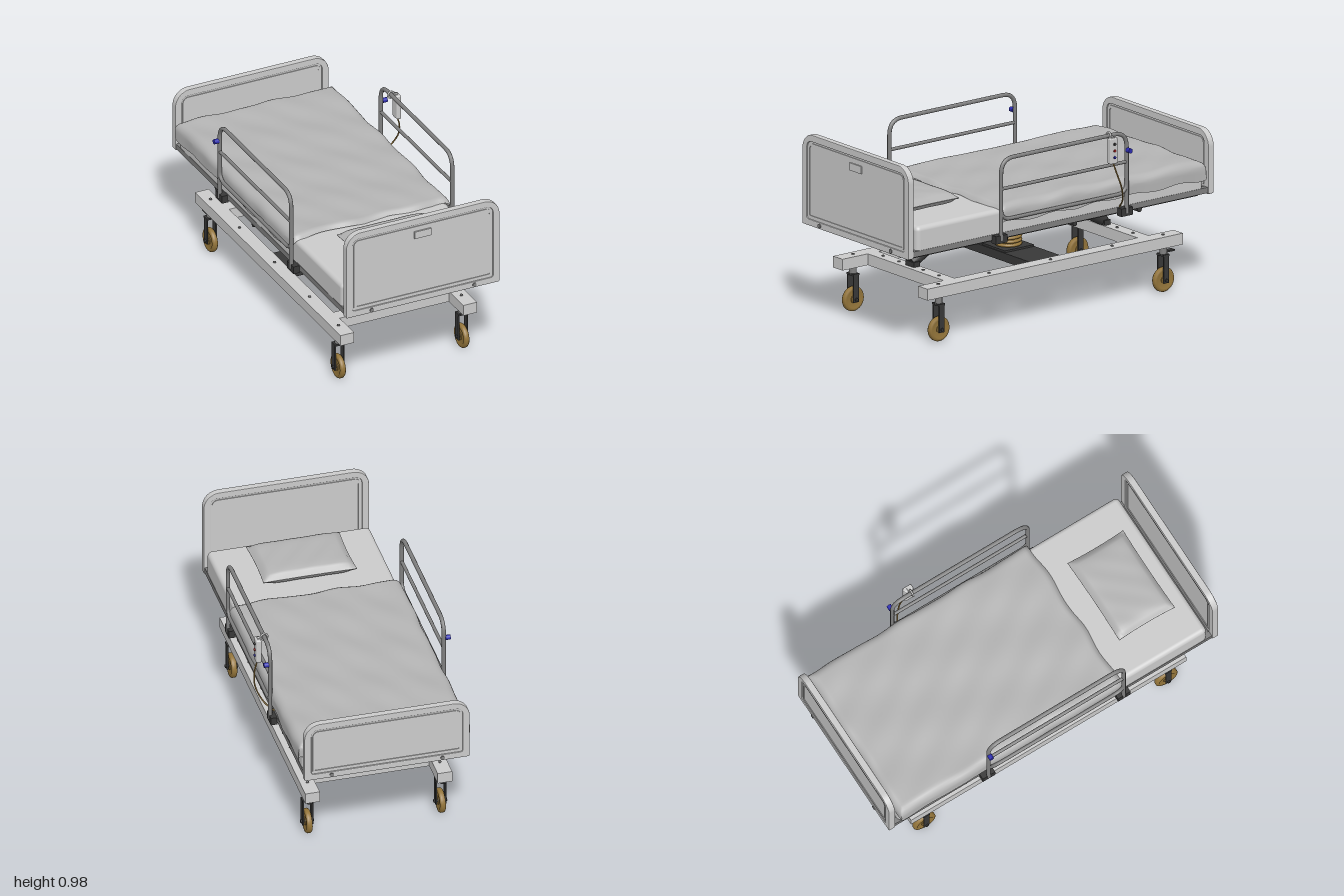
import * as THREE from 'three';
import { mergeVertices } from 'three/addons/utils/BufferGeometryUtils.js';
import { RoundedBoxGeometry } from 'three/addons/geometries/RoundedBoxGeometry.js';
import { ParametricGeometry } from 'three/addons/geometries/ParametricGeometry.js';

const mat = (color) => new THREE.MeshStandardMaterial({ color });
const grey = mat(0xcccccc), cloth = mat(0xb4b4b4), steel = mat(0x808080), dark = mat(0x383838);
const brown = mat(0x94753a), blue = mat(0x2c2cb0), red = mat(0xb02020);
const V = (x, y, z) => new THREE.Vector3(x, y, z);

function add(parent, name, geo, material, x = 0, y = 0, z = 0) {
  const m = new THREE.Mesh(geo, material);
  m.name = name;
  m.position.set(x, y, z);
  parent.add(m);
  return m;
}
const box = (w, h, d) => new THREE.BoxGeometry(w, h, d);
const cyl = (r, h, n = 20) => new THREE.CylinderGeometry(r, r, h, n);
const cylX = (r, h, n) => cyl(r, h, n).rotateZ(Math.PI / 2);
const cylZ = (r, h, n) => cyl(r, h, n).rotateX(Math.PI / 2);

// Cylinder between two points
function rod(parent, name, a, b, r, material) {
  const m = add(parent, name, cyl(r, a.distanceTo(b)), material);
  m.position.copy(a).lerp(b, 0.5);
  m.quaternion.setFromUnitVectors(V(0, 1, 0), b.clone().sub(a).normalize());
  return m;
}

// Bent tube through corner points, with rounded corners
function bentTube(points, bend, r) {
  const path = new THREE.CurvePath();
  let from = points[0];
  for (let i = 1; i < points.length - 1; i++) {
    const p = points[i];
    const a = p.clone().add(points[i - 1].clone().sub(p).setLength(bend));
    const b = p.clone().add(points[i + 1].clone().sub(p).setLength(bend));
    path.add(new THREE.LineCurve3(from, a));
    path.add(new THREE.QuadraticBezierCurve3(a, p, b));
    from = b;
  }
  path.add(new THREE.LineCurve3(from, points[points.length - 1]));
  return new THREE.TubeGeometry(path, 110, r, 10);
}

// Rectangle with separate top and bottom corner radii
function roundedRect(w, y0, y1, rt, rb, Type = THREE.Shape) {
  const s = new Type();
  s.moveTo(-w + rb, y0);
  s.lineTo(w - rb, y0);
  s.absarc(w - rb, y0 + rb, rb, -Math.PI / 2, 0);
  s.lineTo(w, y1 - rt);
  s.absarc(w - rt, y1 - rt, rt, 0, Math.PI / 2);
  s.lineTo(-w + rt, y1);
  s.absarc(-w + rt, y1 - rt, rt, Math.PI / 2, Math.PI);
  s.lineTo(-w, y0 + rb);
  s.absarc(-w + rb, y0 + rb, rb, Math.PI, Math.PI * 1.5);
  return s;
}
function slab(shape, depth, bevel = 0) {
  return new THREE.ExtrudeGeometry(shape, {
    depth: depth - 2 * bevel, bevelEnabled: bevel > 0, bevelSize: bevel, bevelOffset: -bevel,
    bevelThickness: bevel, bevelSegments: 2, curveSegments: 12,
  }).translate(0, 0, -depth / 2 + bevel);
}

// Head or foot board: frame, sunk panel and raised bead
function endBoard(name, top, z) {
  const g = new THREE.Group();
  g.name = name;
  const frame = roundedRect(0.437, 0.493, top, 0.085, 0.008);
  frame.holes.push(roundedRect(0.4, 0.527, top - 0.037, 0.035, 0.012, THREE.Path));
  add(g, 'boardFrame', slab(frame, 0.036, 0.004), grey);
  add(g, 'boardPanel', slab(roundedRect(0.402, 0.525, top - 0.035, 0.035, 0.012), 0.022), grey);
  const bead = roundedRect(0.392, 0.536, top - 0.046, 0.03, 0.01);
  bead.holes.push(roundedRect(0.381, 0.548, top - 0.058, 0.024, 0.006, THREE.Path));
  add(g, 'boardBead', slab(bead, 0.03), grey);
  for (const x of [-0.293, 0.293]) add(g, 'boardBolt', cylZ(0.011, 0.046, 12), steel, x, 0.51);
  g.position.z = z;
  return g;
}

// Perforated deck panel lying between two z values
function deckPanel(z0, z1) {
  const s = roundedRect(0.38, z0, z1, 0.01, 0.01);
  const rows = Math.round((z1 - z0) / 0.1), step = (z1 - z0) / rows;
  for (let r = 0; r < rows; r++) for (let c = 0; c < 9; c++) {
    const hole = new THREE.Path();
    hole.absarc((c - 4) * 0.076 + (r % 2 ? 0.012 : -0.012), z0 + (r + 0.5) * step, 0.016, 0, Math.PI * 2, true);
    s.holes.push(hole);
  }
  return slab(s, 0.022).rotateX(Math.PI / 2);
}

// Position and fall of cloth that runs over a rounded edge at distance 'half'
function drape(t, half, r) {
  const d = Math.max(0, t - (half - r)), arc = r * Math.PI / 2;
  if (d < arc) return [Math.min(t, half - r) + r * Math.sin(d / r), r * (1 - Math.cos(d / r))];
  return [half, r + d - arc];
}
function blanketGeometry() {
  const geo = new ParametricGeometry((u, v, out) => {
    const s = (u * 2 - 1) * 0.53, t = -0.405 + v * 1.4;
    const wave = Math.sin(t * 17 + s * 4) * 0.5 + Math.sin(t * 31 - s * 9) * 0.3;
    let [x, fx] = drape(Math.abs(s), 0.452 + wave * 0.004, 0.045);
    let [z, fz] = drape(t, 0.93 + Math.sin(s * 14) * 0.004, 0.04);
    if (fx > 0.045) fx += Math.sin(t * 23) * 0.006;
    const hem = Math.max(0, 1 - v / 0.02) ** 2 * 0.022;
    const wrinkle = 0.005 * Math.sin(s * 11 + t * 5) * Math.sin(t * 13 - s * 6) + 0.002 * Math.sin(s * 31 + t * 19);
    z += Math.sin(s * 19) * 0.007 * Math.max(0, 1 - v * 5);
    out.set(Math.sign(s) * x, 0.681 + wrinkle - hem - Math.max(fx, fz), -z);
  }, 80, 110);
  geo.computeVertexNormals();
  return geo;
}
function pillowGeometry() {
  let geo = new THREE.BoxGeometry(2, 2, 2, 28, 6, 22);
  geo.deleteAttribute('normal');
  geo.deleteAttribute('uv');
  geo = mergeVertices(geo);
  const p = geo.attributes.position;
  for (let i = 0; i < p.count; i++) {
    const x = p.getX(i), y = p.getY(i), z = p.getZ(i);
    const puff = Math.pow((1 - x ** 6) * (1 - z ** 6), 0.45);
    const bulge = 1 - 0.03 * y * y, dent = 1 - 0.06 * Math.sin(x * 5 + z * 3) ** 2;
    p.setXYZ(i, x * 0.248 * bulge * (1 - 0.025 * (1 - z * z)), y * (0.006 + 0.032 * puff * dent), z * 0.168 * bulge * (1 - 0.025 * (1 - x * x)));
  }
  geo.computeVertexNormals();
  return geo;
}

function caster(x, z) {
  const g = new THREE.Group();
  g.name = 'caster';
  const tyre = [[0.02, -0.011], [0.045, -0.011], [0.048, -0.015], [0.06, -0.014], [0.065, -0.007], [0.065, 0.007],
    [0.06, 0.014], [0.048, 0.015], [0.045, 0.011], [0.02, 0.011]].map(([r, y]) => new THREE.Vector2(r, y));
  add(g, 'wheel', new THREE.LatheGeometry(tyre, 32).rotateZ(Math.PI / 2), brown, 0, 0.065);
  add(g, 'hub', cylX(0.022, 0.03), brown, 0, 0.065);
  add(g, 'axle', cylX(0.009, 0.07, 12), dark, 0, 0.065);
  for (const s of [-1, 1]) add(g, 'fork', box(0.007, 0.15, 0.034), dark, s * 0.025, 0.125);
  add(g, 'forkCrown', box(0.057, 0.01, 0.04), dark, 0, 0.197);
  add(g, 'stem', cyl(0.019, 0.042), steel, 0, 0.22);
  if (z < 0) add(g, 'brakePedal', box(0.03, 0.008, 0.06), dark, 0, 0.212, -0.035);
  g.position.set(x, 0, z);
  return g;
}

export function createModel() {
  const model = new THREE.Group(), bed = new THREE.Group();
  bed.name = 'bed';
  bed.position.x = -0.018;
  model.add(bed);

  // End boards
  bed.add(endBoard('headboard', 0.978, 0.975), endBoard('footboard', 0.83, -0.975));
  add(bed, 'nameplate', box(0.095, 0.04, 0.012), grey, 0, 0.883, 0.988);

  // Bedding
  add(bed, 'mattress', new RoundedBoxGeometry(0.86, 0.15, 1.86, 4, 0.025), grey, 0, 0.58, 0);
  const blanketMat = cloth.clone();
  blanketMat.side = THREE.DoubleSide;
  add(bed, 'blanket', blanketGeometry(), blanketMat);
  add(bed, 'pillow', pillowGeometry(), cloth, -0.004, 0.695, 0.68);

  // Deck and its frame
  for (const [a, b] of [[0.36, 0.94], [-0.09, 0.34], [-0.51, -0.11], [-0.94, -0.53]])
    add(bed, 'deckPanel', deckPanel(a, b), dark, 0, 0.489, 0);
  for (const z of [0.35, -0.1, -0.52]) add(bed, 'deckHinge', cylX(0.014, 0.85), dark, 0, 0.49, z);
  for (const s of [-1, 1]) {
    add(bed, 'deckSideBar', box(0.03, 0.03, 1.93), steel, s * 0.417, 0.515, 0);
    add(bed, 'deckEndBar', cylX(0.014, 0.82), steel, 0, 0.516, s * 0.943);
  }

  // Wheeled base
  for (const s of [-1, 1]) {
    add(bed, 'baseRail', box(0.077, 0.06, 1.66), grey, s * 0.35, 0.27, 0);
    add(bed, 'baseCrossbeam', box(0.63, 0.06, 0.07), grey, 0, 0.27, s * 0.63);
    for (const z of [-0.73, -0.4, 0, 0.4, 0.73]) add(bed, 'baseScrew', cyl(0.008, 0.006, 10), steel, s * 0.35, 0.302, z);
    for (const x of [-0.23, -0.1, 0.1, 0.23]) add(bed, 'beamScrew', cyl(0.008, 0.006, 10), steel, x, 0.302, s * 0.63);
    for (const z of [-0.73, 0.73]) bed.add(caster(s * 0.352, z));
  }
  add(bed, 'liftBeam', box(0.63, 0.045, 0.2), dark, 0, 0.272, 0);
  add(bed, 'liftPlate', box(0.19, 0.01, 0.19), dark, 0, 0.3, 0);

  // Lifting column with bellows
  const folds = [];
  for (let i = 0; i <= 72; i++)
    folds.push(new THREE.Vector2(0.058 + 0.015 * Math.sqrt(Math.abs(Math.sin(i * Math.PI / 8))), 0.302 + i * 0.18 / 72));
  add(bed, 'bellows', new THREE.LatheGeometry(folds, 32), brown);

  // Tilt actuators
  for (const s of [-1, 1]) {
    const top = V(0, 0.485, s * 0.29), mid = V(0, 0.41, s * 0.45), low = V(0, 0.315, s * 0.625);
    rod(bed, 'actuatorRod', top, mid, 0.015, steel);
    rod(bed, 'actuatorBody', mid, low, 0.028, dark);
    add(bed, 'actuatorCollar', new THREE.SphereGeometry(0.028, 16, 10), dark, 0, 0.41, s * 0.45);
    add(bed, 'actuatorMount', box(0.07, 0.03, 0.04), dark, 0, 0.312, s * 0.62);
  }

  // Side guards
  for (const s of [-1, 1]) {
    const guard = new THREE.Group();
    guard.name = s > 0 ? 'leftGuard' : 'rightGuard';
    guard.position.x = s * 0.459;
    bed.add(guard);
    const hoop = [[0.5, -0.408], [0.93, -0.408], [0.93, 0.408], [0.5, 0.408]].map(([y, z]) => V(0, y, z));
    const lower = [[0.7, -0.408], [0.607, -0.408], [0.607, 0.408], [0.7, 0.408]].map(([y, z]) => V(0, y, z));
    add(guard, 'guardHoop', bentTube(hoop, 0.08, 0.011), steel);
    add(guard, 'guardLowerBar', bentTube(lower, 0.06, 0.01), steel);
    add(guard, 'guardMiddleBar', cylZ(0.009, 0.816), steel, 0, 0.772, 0);
    for (const z of [-0.408, 0.408]) add(guard, 'guardBracket', box(0.036, 0.042, 0.075), dark, -s * 0.012, 0.506, z);
    add(guard, 'guardKnob', cylX(0.013, 0.026), blue, s * 0.021, 0.835, -0.408);
  }

  // Hand control with hook and cable
  const control = new THREE.Group();
  control.name = 'handControl';
  bed.add(control);
  add(control, 'controlBody', new RoundedBoxGeometry(0.028, 0.135, 0.052, 3, 0.006), grey, 0.493, 0.858, -0.292);
  add(control, 'controlHook', new THREE.TorusGeometry(0.018, 0.005, 8, 24), grey, 0.459, 0.93, -0.292);
  add(control, 'controlHookArm', box(0.024, 0.01, 0.016), grey, 0.484, 0.926, -0.292);
  [dark, red, blue].forEach((m, i) => add(control, 'controlButton', cylX(0.007, 0.008, 12), m, 0.509, 0.895 - i * 0.035, -0.292));
  const cable = new THREE.CatmullRomCurve3([V(0.493, 0.795, -0.292), V(0.514, 0.73, -0.305), V(0.517, 0.66, -0.33),
    V(0.48, 0.58, -0.365), V(0.43, 0.53, -0.385)]);
  add(control, 'controlCable', new THREE.TubeGeometry(cable, 40, 0.004, 8), brown);

  return model;
}
